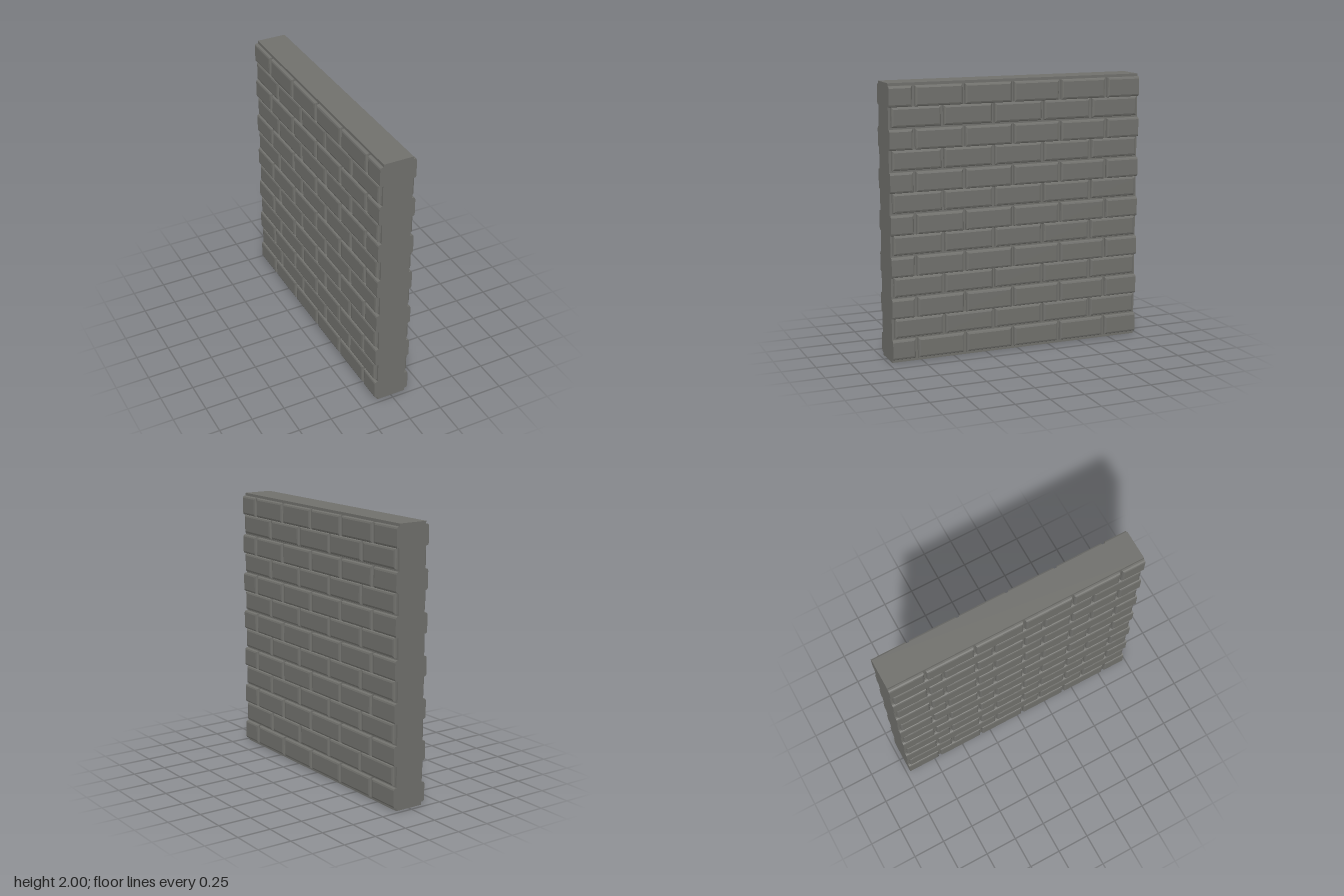
import * as THREE from 'three';
import { mergeGeometries } from 'three/addons/utils/BufferGeometryUtils.js';

const CORE = 0.11, END = 0.97, BEVEL = 0.016;

// One raised brick on the +x face: four stacked rings and a cap.
// low / high set the bevel at its two z ends (0 = cut flush with the wall end).
function brick(z0, z1, y0, y1, low, high) {
  const steps = [[CORE - 0.01, 0], [0.121, 0], [0.131, 0.3], [0.135, 1]];
  const rings = steps.map(([x, k]) => {
    const a = z0 + low * k, b = z1 - high * k, c = y0 + BEVEL * k, d = y1 - BEVEL * k;
    return [[x, c, b], [x, c, a], [x, d, a], [x, d, b]];
  });
  const pos = [];
  const quad = (a, b, c, d) => pos.push(...a, ...b, ...c, ...a, ...c, ...d);
  for (let r = 0; r < rings.length - 1; r++) {
    for (let i = 0; i < 4; i++) {
      const j = (i + 1) % 4;
      quad(rings[r][i], rings[r][j], rings[r + 1][j], rings[r + 1][i]);
    }
  }
  quad(...rings[rings.length - 1]);
  const g = new THREE.BufferGeometry();
  g.setAttribute('position', new THREE.Float32BufferAttribute(pos, 3));
  g.computeVertexNormals();
  return g;
}

export function createModel() {
  const wall = new THREE.Group();
  wall.name = 'brickWall';
  const stone = new THREE.MeshStandardMaterial({ color: 0x70706c });
  stone.name = 'grey stone';

  // Mortar core
  const core = new THREE.Mesh(new THREE.BoxGeometry(CORE * 2, 2, END * 2), stone);
  core.name = 'wallCore';
  core.position.y = 1;
  wall.add(core);

  // Joint centres: even courses are cut at the wall ends, odd ones hold whole bricks
  const evenJoints = [-0.702, -0.33, 0.043, 0.416, 0.788];
  const oddJoints = [-0.963, -0.577, -0.192, 0.193, 0.578, 0.963];
  const gap = 0.0095;

  for (const side of [1, -1]) {
    const face = new THREE.Group();
    face.name = side > 0 ? 'leftBricks' : 'rightBricks';
    for (let row = 0; row < 13; row++) {
      const even = row % 2 === 0;
      const y = (even ? 0.095 : 0.253) + Math.floor(row / 2) * 0.302;
      const h = even ? 0.073 : 0.071;
      const joints = even ? [-END - gap, ...evenJoints, END + gap] : oddJoints;
      const parts = [];
      for (let i = 0; i < joints.length - 1; i++) {
        const low = even && i === 0 ? 0 : BEVEL;
        const high = even && i === joints.length - 2 ? 0 : BEVEL;
        parts.push(brick(joints[i] + gap, joints[i + 1] - gap, y - h, y + h, low, high));
      }
      const geo = mergeGeometries(parts);
      // Mirror to the other face, swapping corners to keep faces outward
      if (side < 0) {
        const p = geo.attributes.position.array;
        for (let t = 0; t < p.length; t += 9) {
          for (let k = 0; k < 3; k++) [p[t + 3 + k], p[t + 6 + k]] = [p[t + 6 + k], p[t + 3 + k]];
          for (let k = 0; k < 9; k += 3) p[t + k] *= -1;
        }
        geo.computeVertexNormals();
      }
      const course = new THREE.Mesh(geo, stone);
      course.name = 'brickCourse' + (row + 1);
      face.add(course);
    }
    wall.add(face);
  }
  return wall;
}
